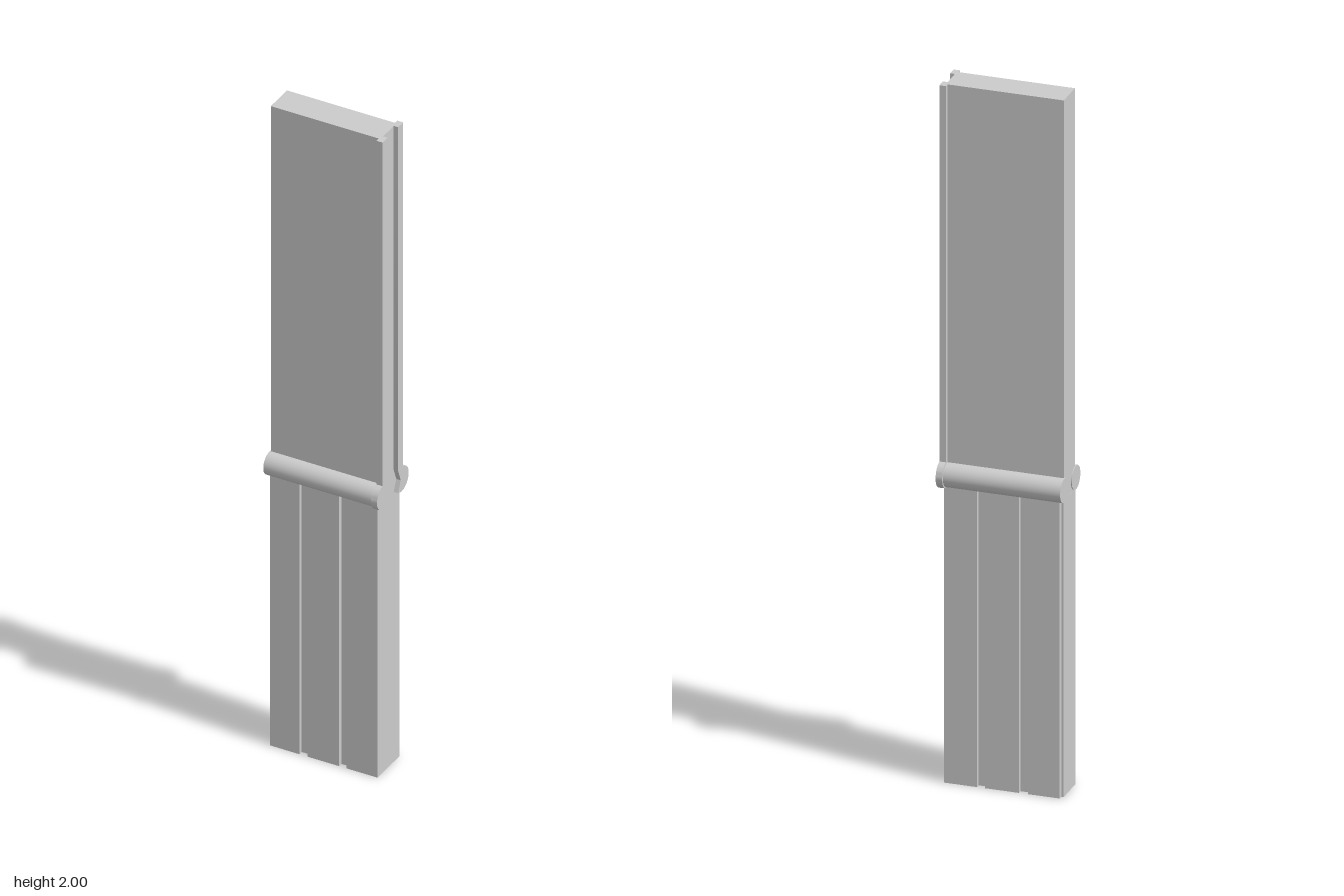
import * as THREE from 'three';
import { toCreasedNormals } from 'three/addons/utils/BufferGeometryUtils.js';

export function createModel() {
  const group = new THREE.Group();
  const material = new THREE.MeshStandardMaterial({ color: 0xcccccc });
  const add = (name, geometry) => {
    const mesh = new THREE.Mesh(geometry, material);
    mesh.name = name;
    group.add(mesh);
    return mesh;
  };
  const extrude = (points, depth) => new THREE.ExtrudeGeometry(
    new THREE.Shape(points.map(([x, y]) => new THREE.Vector2(x, y))),
    { depth, bevelEnabled: false });

  // Plain upper panel
  const seam = 0.85;
  add('upperPanel', new THREE.BoxGeometry(0.331, 2 - seam, 0.088))
    .position.set(-0.0055, (2 + seam) / 2, 0);

  // Lower panel: three planks parted by grooves on both faces
  const face = 0.0595, recess = 0.047;
  const front = [
    [-0.1715, recess], [-0.165, recess], [-0.165, face],
    [-0.076, face], [-0.076, recess], [-0.051, recess], [-0.051, face],
    [0.044, face], [0.044, recess], [0.067, recess], [0.067, face],
    [0.16, face],
  ];
  const back = front.map(([x, z]) => [x, -z]).reverse();
  add('lowerPlanks', extrude([...front, ...back], seam).rotateX(-Math.PI / 2));

  for (const side of [1, -1]) {
    const prefix = side > 0 ? 'front' : 'back';

    // Half-round moulding across the seam
    add(prefix + 'Moulding',
      new THREE.CylinderGeometry(0.034, 0.034, 0.3285, 32).rotateZ(Math.PI / 2))
      .position.set(-0.00925, 0.881, side * 0.0465);

    // Edge strip swelling into a rounded foot, with a notch on the inside
    const profile = [[0.029, 2], [0.0565, 2]];
    const steps = 20;
    for (let i = 0; i <= steps; i++) {
      const a = THREE.MathUtils.lerp(1.36, -1.9, i / steps);
      profile.push([0.0485 + 0.038 * Math.cos(a), 0.882 + 0.038 * Math.sin(a)]);
    }
    profile.push([0.029, 0.849], [0.043, 0.882], [0.029, 0.918]);
    const strip = extrude(profile.map(([z, y]) => [z * side, y]), 0.0185);
    strip.rotateY(-Math.PI / 2).translate(0.1735, 0, 0);
    add(prefix + 'EdgeStrip', toCreasedNormals(strip, 0.5));
  }

  return group;
}
